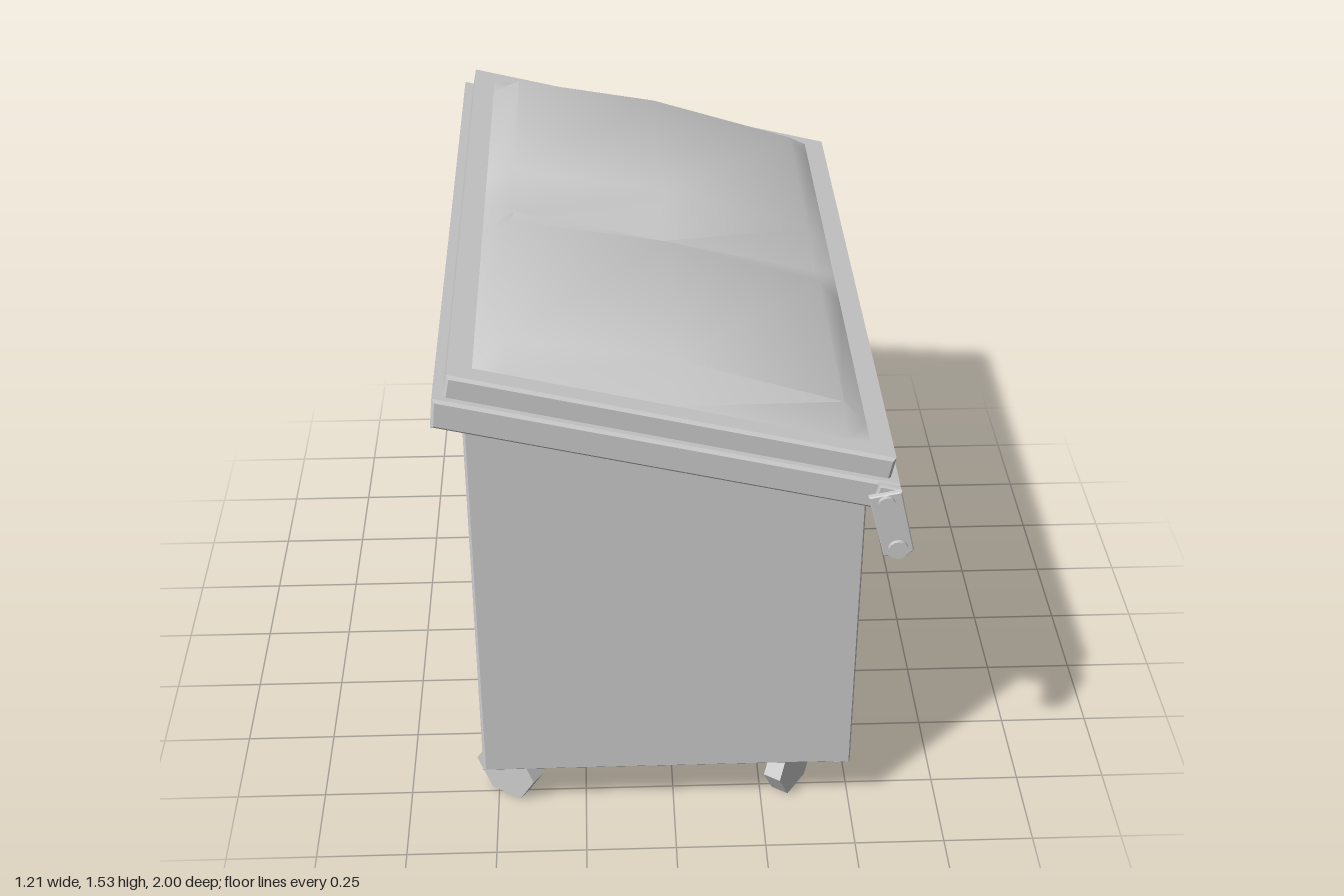
import * as THREE from 'three';
import { toCreasedNormals } from 'three/addons/utils/BufferGeometryUtils.js';

const SLOPE = -0.2425;
const grey = new THREE.MeshStandardMaterial({ color: 0xcccccc });

export function createModel() {
  const root = new THREE.Group();
  const add = (name, geo, x = 0, y = 0, z = 0) => {
    const m = new THREE.Mesh(geo, grey);
    m.name = name;
    m.position.set(x, y, z);
    root.add(m);
    return m;
  };

  // Side profile in x/y, extruded along z between z0 and z1 with a chamfered edge
  const slab = (name, pts, z0, z1, bevel = 0.008) => {
    const geo = new THREE.ExtrudeGeometry(
      new THREE.Shape(pts.map(p => new THREE.Vector2(...p))),
      {
        depth: z1 - z0 - 2 * bevel, bevelEnabled: true, bevelSegments: 1,
        bevelSize: bevel, bevelThickness: bevel, bevelOffset: -bevel,
      });
    return add(name, geo, 0, 0, z0 + bevel);
  };
  // Rod along z
  const rod = (name, x, y, r, length, z = 0, sides = 16) =>
    add(name, new THREE.CylinderGeometry(r, r, length, sides).rotateX(Math.PI / 2), x, y, z);

  // Container with a sloping top
  const under = x => 1.2345 + SLOPE * x;
  slab('container', [[-0.535, 0.17], [0.472, 0.17], [0.472, under(0.472) + 0.03],
    [-0.535, under(-0.535) + 0.03]], -0.857, 0.857);

  // Corner posts and beads framing the ribbed side
  for (const s of [-1, 1]) {
    slab('cornerPost', [[0.45, 0.17], [0.493, 0.17], [0.493, under(0.493) + 0.02],
      [0.45, under(0.45) + 0.02]], s * 0.8365 - 0.0205, s * 0.8365 + 0.0205, 0.004);
    add('panelBead', new THREE.CylinderGeometry(0.011, 0.011, 0.96, 10), 0.474, 0.65, s * 0.798);
  }
  // Horizontal ribs
  for (const y of [0.49, 0.81]) rod('rib', 0.472, y, 0.014, 1.6, 0, 10);

  // Rim below the lid, and the lid's flat edge
  slab('rim', [[-0.605, 1.381], [0.538, 1.104], [0.56, 1.183], [-0.597, 1.463]], -0.962, 0.962);
  slab('lidEdge', [[-0.575, 1.44], [0.535, 1.17], [0.55, 1.246], [-0.56, 1.515]], -0.938, 0.938);

  // Twin-domed lid: height over the sloping lid plane, with a valley across the middle
  const xs = [-0.5, -0.42, 0, 0.43, 0.49], hx = [0, 0.052, 0.081, 0.052, 0];
  const zs = [-0.88, -0.79, -0.16, 0, 0.16, 0.79, 0.88], hz = [0, 1, 1, 0, 1, 1, 0];
  const dome = new THREE.PlaneGeometry(1, 1, xs.length - 1, zs.length - 1);
  const pos = dome.attributes.position;
  zs.forEach((z, j) => xs.forEach((x, i) =>
    pos.setXYZ(j * xs.length + i, x, 1.38 + SLOPE * x + hx[i] * hz[j], z)));
  dome.deleteAttribute('uv');
  add('lidDome', toCreasedNormals(dome, 0.8));

  // Hinge bar, handle tube and the two end brackets
  slab('hingeBar', [[0.49, 1.13], [0.545, 1.117], [0.56, 1.18], [0.505, 1.194]], -0.976, 0.976, 0.004);
  rod('handleTube', 0.56, 1.01, 0.026, 1.96);
  for (const s of [-1, 1]) {
    slab('bracket', [[0.478, 1.166], [0.525, 0.985], [0.58, 0.98], [0.602, 1.003],
      [0.56, 1.183]], s * 0.98 - 0.009, s * 0.98 + 0.009, 0.003);
    rod('bracketBolt', 0.523, 1.15, 0.022, 0.022, s * 0.989);
    rod('bracketBolt', 0.56, 1.01, 0.026, 0.022, s * 0.989);
  }

  // Hexagonal casters, each turned its own way
  for (const [x, z, nx, nz] of [
    [0.335, 0.737, 0.82, 0.56], [0.335, -0.775, 0.82, -0.56],
    [-0.465, 0.737, -0.56, 0.82], [-0.465, -0.775, -0.56, -0.82]]) {
    const geo = new THREE.CylinderGeometry(0.099, 0.099, 0.052, 6)
      .rotateY(Math.PI / 2).rotateX(Math.PI / 2);
    const wheel = add('caster', toCreasedNormals(geo, 0.3), x, 0.0857, z);
    wheel.rotation.y = Math.atan2(nx, nz);
  }
  return root;
}
